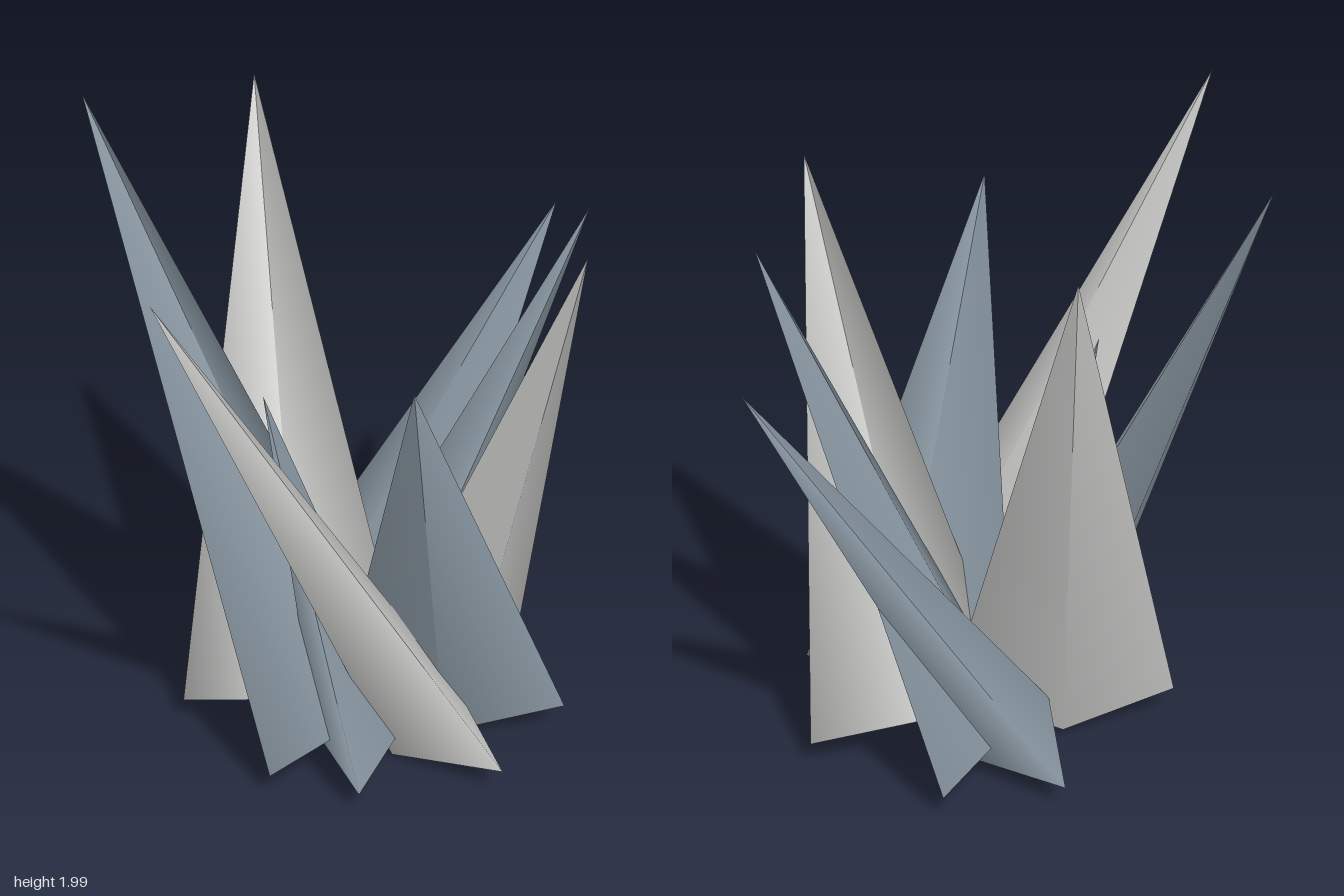
import * as THREE from 'three';

const HALF_WIDTH = 0.36, HALF_DEPTH = 0.15, BASE_Y = 0.087;

export function createModel() {
  const group = new THREE.Group();
  group.name = 'crystalCluster';

  const paleGrey = new THREE.MeshStandardMaterial({ color: 0xc8c8c7 });
  paleGrey.name = 'paleGrey';
  const slateBlue = new THREE.MeshStandardMaterial({ color: 0x8a98a3 });
  slateBlue.name = 'slateBlue';

  // Four-sided shard with smooth normals, shared by every spike
  const shard = new THREE.ConeGeometry(1, 1, 4);
  shard.translate(0, 0.5, 0);

  // A flattened shard from its base centre (x, z) to its tip, broad side facing the lean
  function addShard(name, material, [bx, bz], tip) {
    const base = new THREE.Vector3(bx, BASE_Y, bz);
    const axis = new THREE.Vector3(...tip).sub(base);
    const length = axis.length();
    axis.normalize();
    const wide = new THREE.Vector3(0, 1, 0).cross(axis).normalize();
    const deep = new THREE.Vector3().crossVectors(wide, axis);
    const mesh = new THREE.Mesh(shard, material);
    mesh.name = name;
    mesh.quaternion.setFromRotationMatrix(new THREE.Matrix4().makeBasis(wide, axis, deep));
    mesh.scale.set(HALF_WIDTH, length, HALF_DEPTH);
    mesh.position.copy(base);
    group.add(mesh);
  }

  // Shards: base centre, tip
  addShard('rightShard', paleGrey, [0.055, 0.33], [-0.95, 1.9, 0.32]);
  addShard('backRightShard', slateBlue, [-0.15, 0.14], [-0.39, 2.0, -0.71]);
  addShard('frontRightShard', slateBlue, [0.225, 0.28], [-0.34, 1.56, 0.69]);
  addShard('shortShard', slateBlue, [-0.105, 0.225], [-0.32, 1.26, 0.02]);
  addShard('backLeftShard', paleGrey, [-0.14, -0.055], [0.26, 1.88, -0.7]);
  addShard('frontShard', paleGrey, [0.32, 0.11], [0.3, 1.77, 0.71]);
  addShard('frontLeftShard', slateBlue, [0.23, -0.1], [0.67, 1.68, 0.36]);
  addShard('leftShard', slateBlue, [0.11, -0.15], [0.95, 1.46, -0.05]);

  return group;
}
